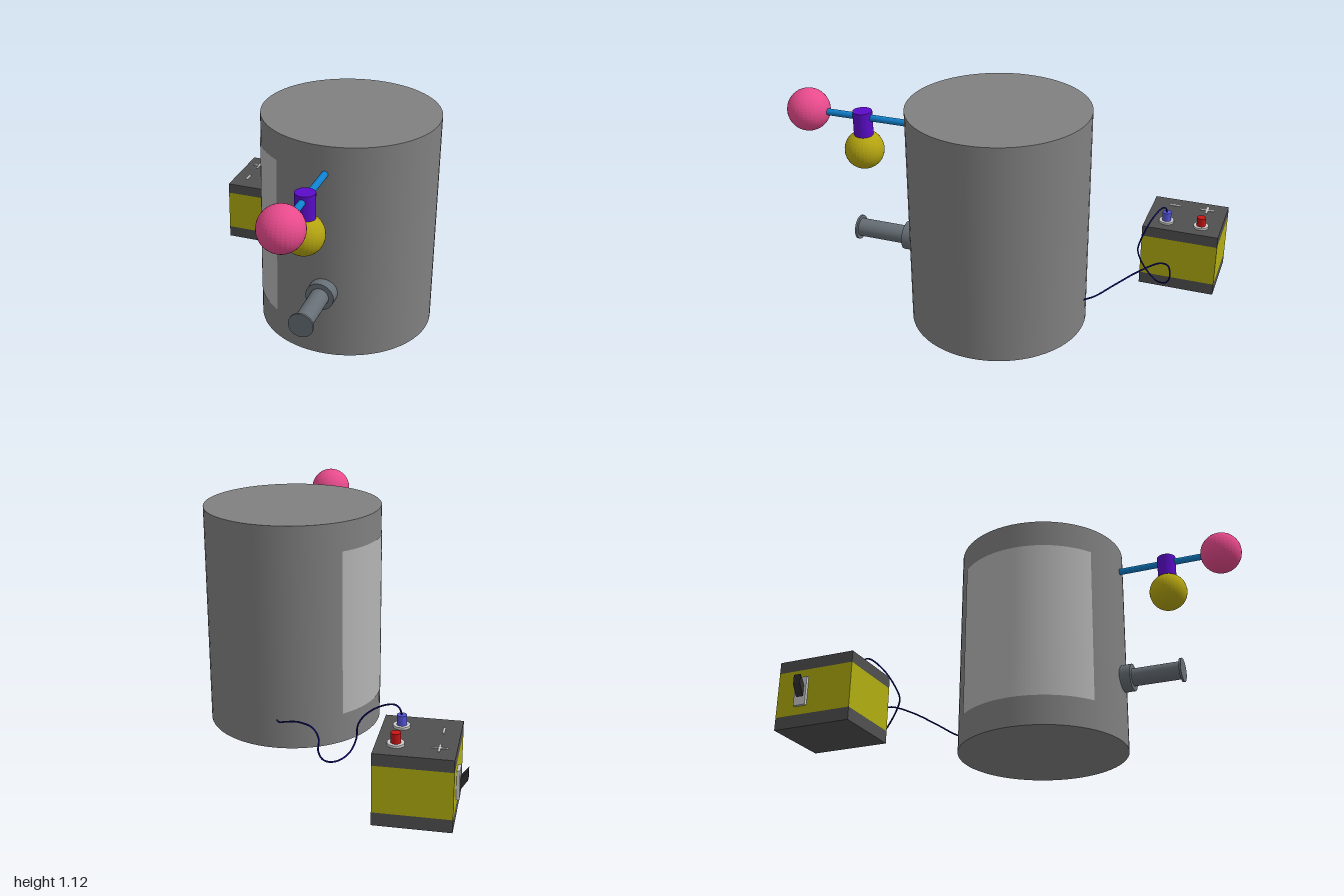
import * as THREE from 'three';

const DEG = Math.PI / 180;

function add(parent, name, geometry, color, x = 0, y = 0, z = 0, options = {}) {
  const mesh = new THREE.Mesh(geometry, new THREE.MeshStandardMaterial({ color, ...options }));
  mesh.name = name;
  mesh.position.set(x, y, z);
  parent.add(mesh);
  return mesh;
}

// Cylinder lying along z between two depths
function addRod(parent, name, radius, z0, z1, color, x, y) {
  const geometry = new THREE.CylinderGeometry(radius, radius, z1 - z0, 32).rotateX(Math.PI / 2);
  return add(parent, name, geometry, color, x, y, (z0 + z1) / 2);
}

function group(parent, name) {
  const g = new THREE.Group();
  g.name = name;
  parent.add(g);
  return g;
}

function createTank(parent) {
  const tank = group(parent, 'tank');
  const x = 0.255, z = -0.05, r = 0.42;
  add(tank, 'tankBody', new THREE.CylinderGeometry(r, r, 1.07, 64), 0x808080, x, 0.58, z);
  // Curved light panel wrapped round the tank's right side
  add(tank, 'sidePanel',
    new THREE.CylinderGeometry(r + 0.002, r + 0.002, 0.79, 32, 1, true, -135 * DEG, 101 * DEG),
    0xb4b4b4, x, 0.585, z, { side: THREE.DoubleSide });

  // Outlet pipe with wall collar and end flange
  const outlet = group(tank, 'outlet');
  for (const [name, radius, z0, z1] of [
    ['collar', 0.068, 0.355, 0.42],
    ['pipe', 0.044, 0.42, 0.66],
    ['endFlange', 0.059, 0.66, 0.67],
  ]) addRod(outlet, name, radius, z0, z1, 0x666e75, 0.27, 0.385);
}

function createFloat(parent) {
  const arm = group(parent, 'ballArm');
  const x = 0.27;
  addRod(arm, 'armRod', 0.016, 0.36, 0.82, 0x1080cc, x, 0.98);
  add(arm, 'endBall', new THREE.SphereGeometry(0.102, 32, 24), 0xe84a8c, x, 0.98, 0.897, { flatShading: true });
  add(arm, 'armSleeve', new THREE.CylinderGeometry(0.046, 0.046, 0.13, 32), 0x5a0cc8, x, 0.945, 0.617);
  add(arm, 'hangingBall', new THREE.SphereGeometry(0.094, 32, 24), 0xb4a410, 0.265, 0.813, 0.62, { flatShading: true });
}

function createBattery(parent) {
  const battery = group(parent, 'battery');
  const x = -0.46, z = -0.81;
  // Stacked case: dark base, yellow band, dark lid
  for (const [name, y0, y1, color] of [
    ['caseBase', 0, 0.06, 0x505050],
    ['caseBand', 0.06, 0.275, 0xb0ac10],
    ['caseLid', 0.275, 0.33, 0x505050],
  ]) add(battery, name, new THREE.BoxGeometry(0.34, y1 - y0, 0.38), color, x, (y0 + y1) / 2, z);

  // Terminals
  for (const [name, tz, color] of [['redTerminal', -0.9, 0xc81414], ['blueTerminal', -0.725, 0x5454d8]]) {
    const terminal = group(battery, name);
    add(terminal, 'washer', new THREE.CylinderGeometry(0.037, 0.037, 0.012, 32), 0xcccccc, -0.375, 0.335, tz);
    add(terminal, 'post', new THREE.CylinderGeometry(0.022, 0.022, 0.055, 24), color, -0.375, 0.358, tz);
  }

  // Thin polarity bars on the lid
  const bars = [[0.07, 0.01, -0.9], [0.01, 0.07, -0.9], [0.01, 0.055, -0.735]];
  for (const [w, d, bz] of bars)
    add(battery, 'polarityBar', new THREE.BoxGeometry(w, 0.004, d), 0xcccccc, -0.557, 0.331, bz);

  // Rocker switch on the outer side
  const toggle = group(battery, 'switch');
  add(toggle, 'switchPlate', new THREE.BoxGeometry(0.015, 0.135, 0.06), 0xcccccc, -0.637, 0.167, -0.872);
  const profile = new THREE.Shape([[-0.642, 0.135], [-0.642, 0.19], [-0.677, 0.235], [-0.677, 0.19]]
    .map(([px, py]) => new THREE.Vector2(px, py)));
  add(toggle, 'rocker', new THREE.ExtrudeGeometry(profile, { depth: 0.036, bevelEnabled: false }),
    0x303030, 0, 0, -0.89);
}

function createWire(parent) {
  // Looping lead from the blue terminal to the back of the tank
  const path = new THREE.CatmullRomCurve3([
    [-0.375, 0.38, -0.725], [-0.365, 0.41, -0.72], [-0.34, 0.42, -0.705], [-0.27, 0.39, -0.672],
    [-0.2, 0.33, -0.645], [-0.166, 0.27, -0.63], [-0.163, 0.215, -0.645], [-0.14, 0.165, -0.69],
    [-0.095, 0.148, -0.745], [-0.05, 0.175, -0.8], [-0.03, 0.225, -0.82], [-0.03, 0.28, -0.81],
    [0, 0.308, -0.775], [0.08, 0.292, -0.69], [0.16, 0.245, -0.595], [0.22, 0.2, -0.515],
    [0.245, 0.185, -0.465],
  ].map((p) => new THREE.Vector3(...p)));
  add(parent, 'wire', new THREE.TubeGeometry(path, 140, 0.004, 8), 0x10107a);
}

export function createModel() {
  const model = new THREE.Group();
  model.name = 'tankWithBattery';
  createTank(model);
  createFloat(model);
  createBattery(model);
  createWire(model);
  return model;
}
